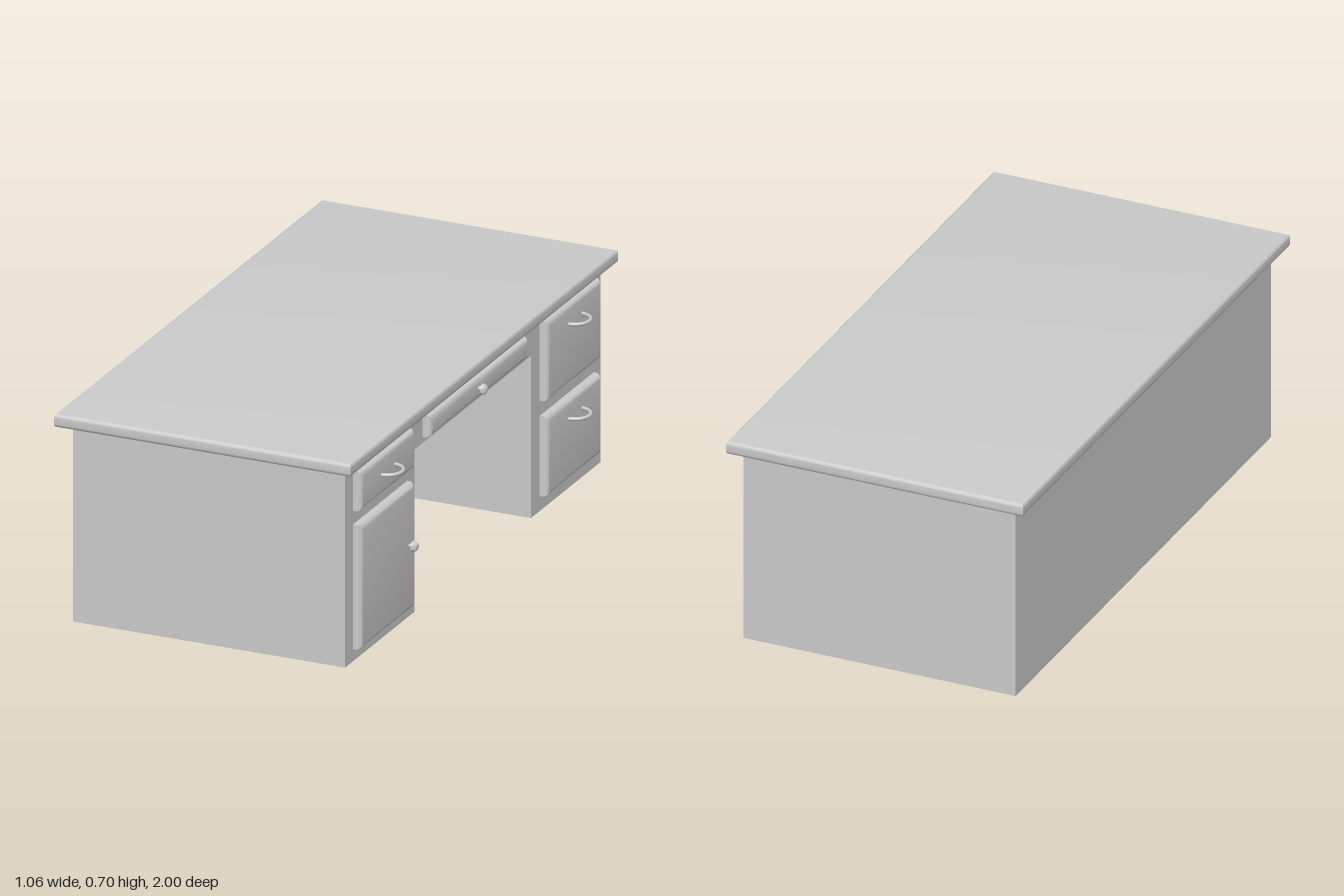
import * as THREE from 'three';
import { toCreasedNormals } from 'three/addons/utils/BufferGeometryUtils.js';

const solid = new THREE.MeshStandardMaterial({ color: 0xcccccc });
const sheet = new THREE.MeshStandardMaterial({ color: 0xcccccc, side: THREE.DoubleSide });

// Overall sizes: the drawers face +x
const FRONT = 0.45, BACK = -0.485, SIDE = 0.955, TOP = 0.66;
const KNEE = 0.435, KNEE_TOP = 0.545, KNEE_BACK = -0.42;
const FACE = 0.478;

// Rectangular slab with rounded, mitred edges on both faces, centred on its own origin
function slab(w, h, thick, bevel) {
  const s = new THREE.Shape();
  s.moveTo(-w / 2, -h / 2).lineTo(w / 2, -h / 2).lineTo(w / 2, h / 2).lineTo(-w / 2, h / 2).closePath();
  const g = new THREE.ExtrudeGeometry(s, {
    depth: thick - 2 * bevel, bevelSize: bevel, bevelThickness: bevel,
    bevelOffset: -bevel, bevelSegments: 5,
  });
  g.translate(0, 0, bevel - thick / 2);
  return toCreasedNormals(g, 0.6);
}

export function createModel() {
  const desk = new THREE.Group();
  desk.name = 'desk';

  function add(name, geometry, x, y, z, material = solid) {
    const m = new THREE.Mesh(geometry, material);
    m.name = name;
    m.position.set(x, y, z);
    desk.add(m);
    return m;
  }

  // Desktop
  add('desktop', slab(1.02, 2, 0.045, 0.012).rotateX(-Math.PI / 2), -0.02, 0.6825, 0);

  // Carcass of thin panels, open underneath
  const front = new THREE.Shape();
  front.moveTo(-SIDE, 0).lineTo(-KNEE, 0).lineTo(-KNEE, KNEE_TOP).lineTo(KNEE, KNEE_TOP)
    .lineTo(KNEE, 0).lineTo(SIDE, 0).lineTo(SIDE, TOP).lineTo(-SIDE, TOP).closePath();
  add('frontFrame', new THREE.ShapeGeometry(front).rotateY(Math.PI / 2), FRONT, 0, 0, sheet);
  add('backPanel', new THREE.PlaneGeometry(2 * SIDE, TOP).rotateY(-Math.PI / 2), BACK, TOP / 2, 0, sheet);
  const kneeDepth = FRONT - KNEE_BACK, kneeX = (FRONT + KNEE_BACK) / 2;
  for (const s of [1, -1]) {
    const side = s > 0 ? 'left' : 'right';
    add(side + 'SidePanel', new THREE.PlaneGeometry(FRONT - BACK, TOP).rotateY(s > 0 ? 0 : Math.PI),
      (FRONT + BACK) / 2, TOP / 2, s * SIDE, sheet);
    add(side + 'KneePanel', new THREE.PlaneGeometry(kneeDepth, KNEE_TOP).rotateY(s > 0 ? Math.PI : 0),
      kneeX, KNEE_TOP / 2, s * KNEE, sheet);
  }
  add('kneeBackPanel', new THREE.PlaneGeometry(2 * KNEE, KNEE_TOP).rotateY(Math.PI / 2),
    KNEE_BACK, KNEE_TOP / 2, 0, sheet);
  add('kneeCeiling', new THREE.PlaneGeometry(kneeDepth, 2 * KNEE).rotateX(Math.PI / 2),
    kneeX, KNEE_TOP, 0, sheet);

  // Drawer fronts and door: name, z range, y range
  const fronts = [
    ['leftDrawer', 0.49, 0.895, 0.505, 0.64],
    ['leftDoor', 0.49, 0.895, 0.04, 0.46],
    ['rightUpperDrawer', -0.905, -0.5, 0.37, 0.64],
    ['rightLowerDrawer', -0.905, -0.5, 0.05, 0.32],
    ['centreDrawer', -0.36, 0.375, 0.565, 0.64],
  ];
  for (const [name, z0, z1, y0, y1] of fronts) {
    add(name, slab(z1 - z0, y1 - y0, 0.06, 0.02).rotateY(Math.PI / 2),
      FACE - 0.03, (y0 + y1) / 2, (z0 + z1) / 2);
  }

  // Bow handles
  for (const [y, z] of [[0.576, 0.693], [0.576, -0.707], [0.258, -0.707]]) {
    const bow = new THREE.TorusGeometry(0.05, 0.006, 10, 28, Math.PI);
    add('handle', bow.rotateZ(-Math.PI / 2).rotateX(Math.PI / 2), FACE - 0.003, y, z);
  }

  // Round knobs: stem and domed head
  const profile = [new THREE.Vector2(0.007, -0.005), new THREE.Vector2(0.007, 0.012)];
  for (let i = 0; i <= 8; i++) {
    const a = (i / 8) * Math.PI / 2;
    profile.push(new THREE.Vector2(0.018 * Math.cos(a), 0.012 + 0.019 * Math.sin(a)));
  }
  for (const [y, z] of [[0.604, 0.017], [0.263, 0.535]]) {
    const knob = toCreasedNormals(new THREE.LatheGeometry(profile, 20), 0.7);
    add('knob', knob.rotateZ(-Math.PI / 2), FACE, y, z);
  }

  return desk;
}
